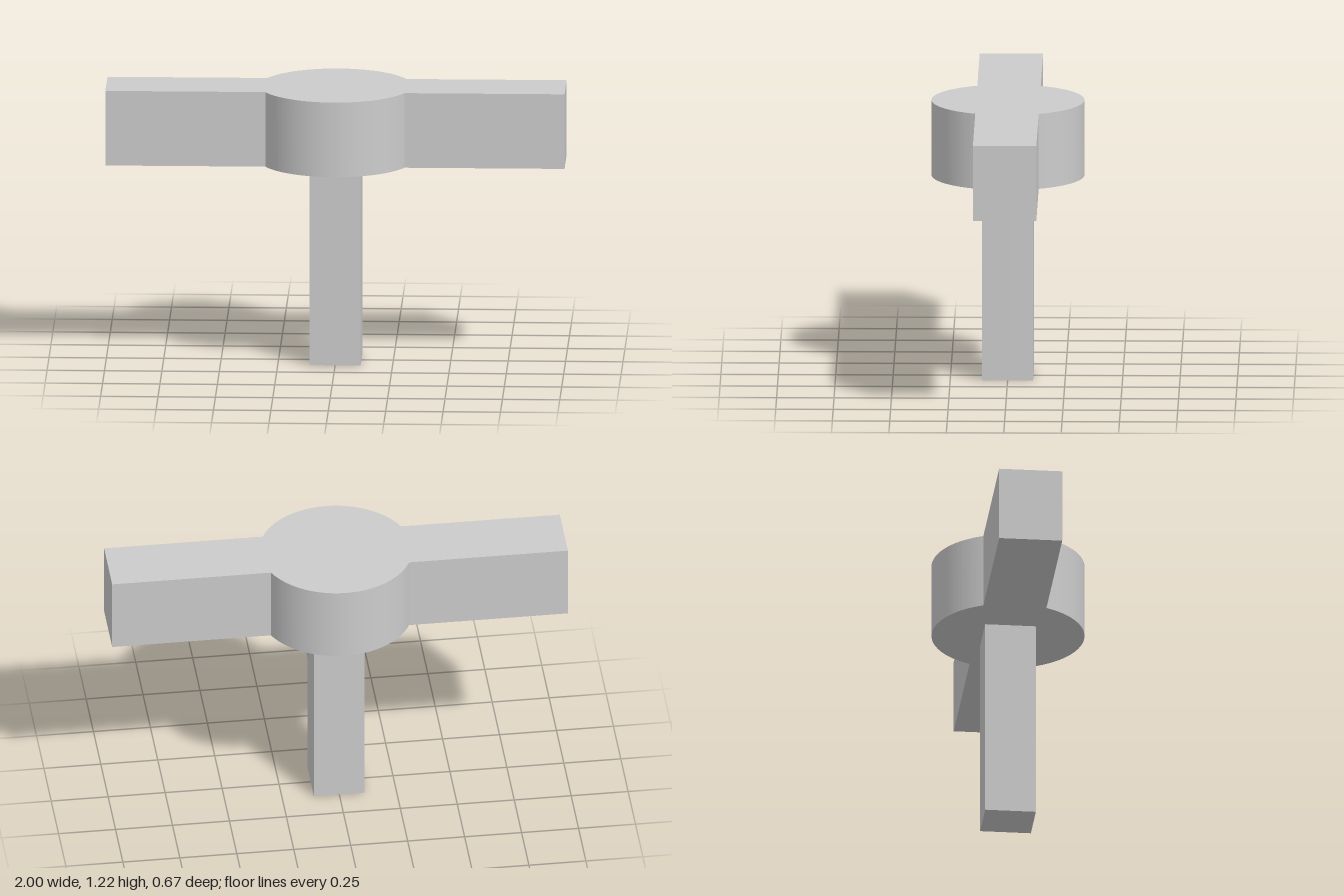
import * as THREE from 'three';
import { toCreasedNormals } from 'three/addons/utils/BufferGeometryUtils.js';

export function createModel() {
  const model = new THREE.Group();
  const grey = new THREE.MeshStandardMaterial({ color: 0xcccccc });
  grey.name = 'light grey';

  const stemHeight = 0.891, headHeight = 0.333;
  const radius = 0.333, armHalf = 0.138;
  const a = Math.asin(armHalf / radius);
  const joinX = radius * Math.cos(a);

  // Crossbar and round hub share one outline, so no faces overlap
  const outline = new THREE.Shape();
  outline.moveTo(-1, -armHalf);
  outline.lineTo(-joinX, -armHalf);
  outline.absarc(0, 0, radius, Math.PI + a, 2 * Math.PI - a, false);
  outline.lineTo(1, -armHalf);
  outline.lineTo(1, armHalf);
  outline.lineTo(joinX, armHalf);
  outline.absarc(0, 0, radius, a, Math.PI - a, false);
  outline.lineTo(-1, armHalf);
  outline.closePath();

  const headGeometry = new THREE.ExtrudeGeometry(outline, {
    depth: headHeight, bevelEnabled: false, curveSegments: 40,
  });
  headGeometry.rotateX(-Math.PI / 2);
  const head = new THREE.Mesh(toCreasedNormals(headGeometry, 0.5), grey);
  head.name = 'crossbarWithHub';
  head.position.y = stemHeight;
  model.add(head);

  // Square stem
  const stem = new THREE.Mesh(new THREE.BoxGeometry(0.222, stemHeight, 0.222), grey);
  stem.name = 'stem';
  stem.position.y = stemHeight / 2;
  model.add(stem);

  return model;
}
